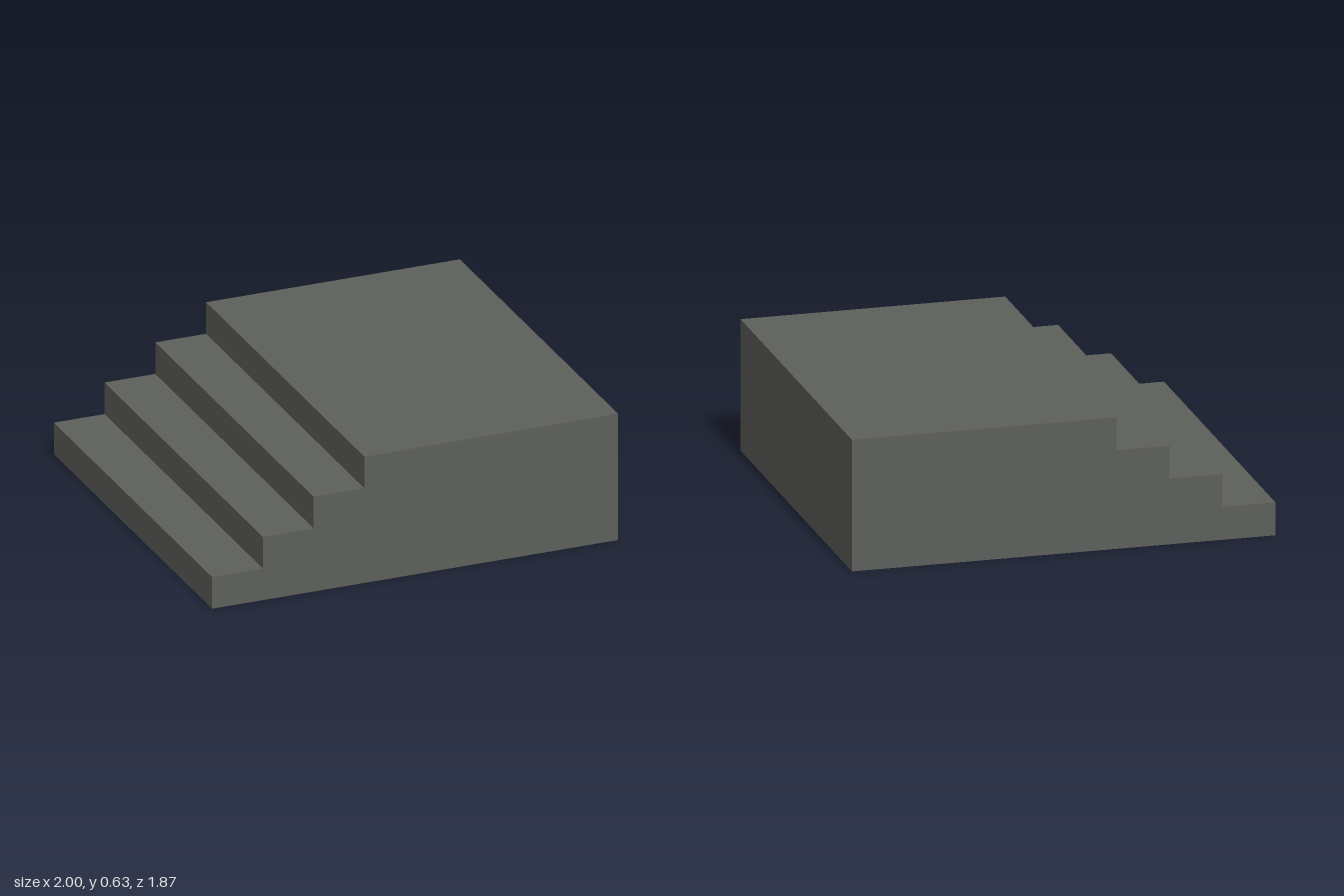
import * as THREE from 'three';

const STEPS = 4, RUN = 0.25, RISE = 0.157, DEPTH = 1.874;
const HEIGHT = STEPS * RISE;

export function createModel() {
  const group = new THREE.Group();
  group.name = 'steppedPlatform';
  const stone = new THREE.MeshStandardMaterial({ color: 0x5d5f5b, side: THREE.DoubleSide });
  stone.name = 'darkGrey';

  const add = (name, geometry, x, y, z) => {
    const mesh = new THREE.Mesh(geometry, stone);
    mesh.name = name;
    mesh.position.set(x, y, z);
    group.add(mesh);
  };
  // horizontal panel facing up, and upright panel facing along x
  const flat = (width) => new THREE.PlaneGeometry(width, DEPTH).rotateX(-Math.PI / 2);
  const upright = (height, dir) => new THREE.PlaneGeometry(DEPTH, height).rotateY(dir * Math.PI / 2);

  // risers and treads climb toward +x; the last tread is the platform top
  const outline = new THREE.Shape();
  outline.moveTo(-1, 0);
  for (let i = 0; i < STEPS; i++) {
    const x0 = -1 + i * RUN;
    const x1 = i === STEPS - 1 ? 1 : x0 + RUN;
    const y = (i + 1) * RISE;
    add('riser' + (i + 1), upright(RISE, -1), x0, y - RISE / 2, 0);
    add(i === STEPS - 1 ? 'platformTop' : 'tread' + (i + 1), flat(x1 - x0), (x0 + x1) / 2, y, 0);
    outline.lineTo(x0, y);
    outline.lineTo(x1, y);
  }
  outline.lineTo(1, 0);
  outline.closePath();

  // tall end wall
  add('endWall', upright(HEIGHT, 1), 1, HEIGHT / 2, 0);

  // stepped side walls; the underside stays open
  add('frontWall', new THREE.ShapeGeometry(outline), 0, 0, DEPTH / 2);
  const back = new THREE.ShapeGeometry(outline);
  const index = back.index.array;
  for (let i = 0; i < index.length; i += 3) [index[i], index[i + 1]] = [index[i + 1], index[i]];
  back.computeVertexNormals();
  add('backWall', back, 0, 0, -DEPTH / 2);

  return group;
}
